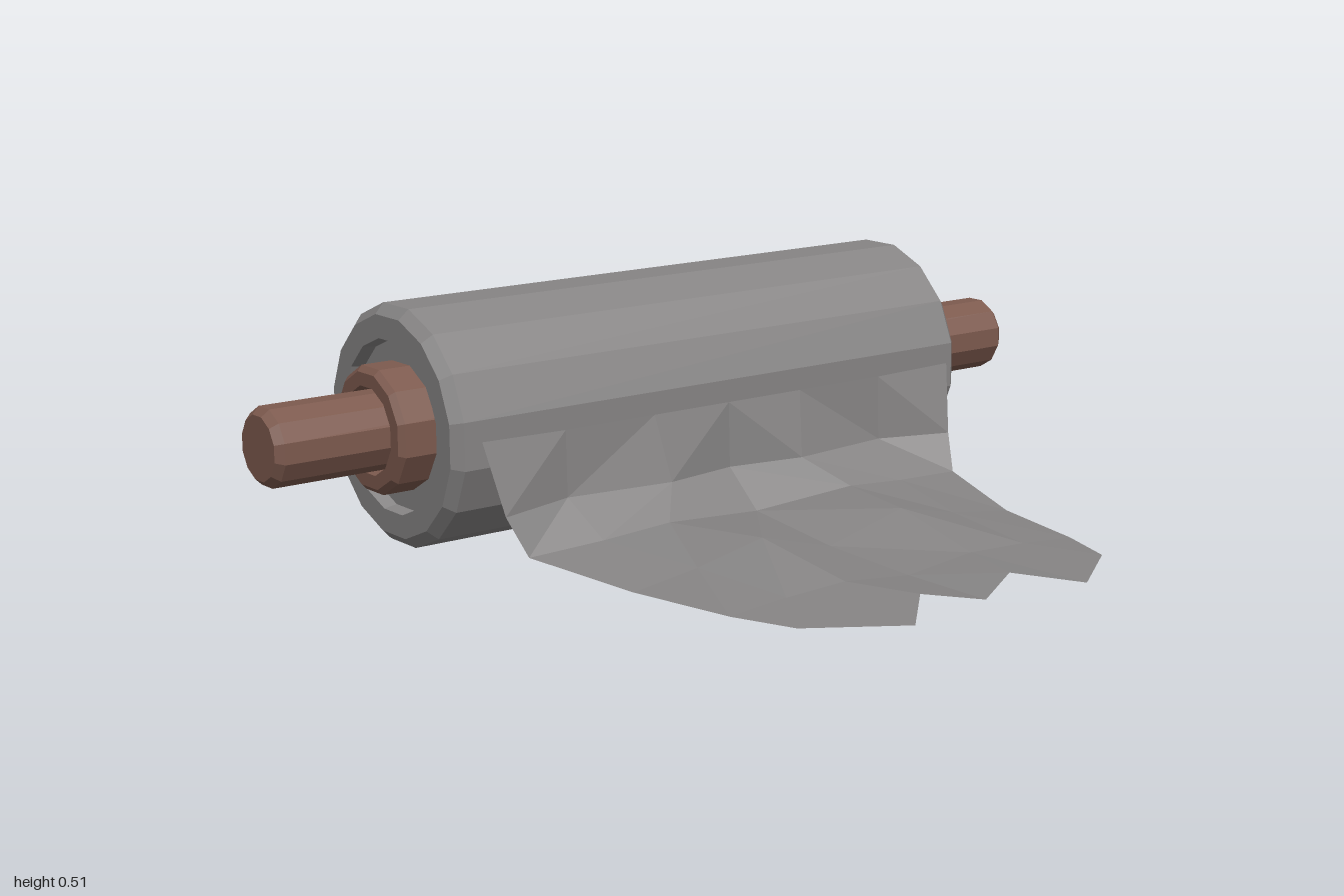
import * as THREE from 'three';

const AXIS_Y = 0.26, AXIS_Z = -0.45;

function material(name, color) {
  const m = new THREE.MeshStandardMaterial({ color, flatShading: true });
  m.name = name;
  return m;
}

// Revolve [radius, x] points around the x axis, with flats facing up and forward
function turned(name, profile, sides, mat) {
  const k = 1 / Math.cos(Math.PI / sides); // radii are given to the flats
  const points = profile.map(([r, x]) => new THREE.Vector2(r * k, x));
  const geo = new THREE.LatheGeometry(points, sides, Math.PI / sides);
  geo.rotateZ(-Math.PI / 2);
  const mesh = new THREE.Mesh(geo, mat);
  mesh.name = name;
  mesh.position.set(0, AXIS_Y, AXIS_Z);
  return mesh;
}

// Complete a right-hand half profile (running inward from the rim) by mirroring it
function mirrored(half) {
  const left = half.map(([r, x]) => [r, -x]).reverse();
  return [...left, ...half];
}

// Each row holds [x, y, z] from the centre line outward; mirrored across x
function clothSheet(rows, mat) {
  const positions = [], index = [];
  const cols = rows[0].length * 2 - 1;
  for (const row of rows) {
    const left = row.slice(1).reverse().map(([x, y, z]) => [-x, y, z]);
    for (const p of [...left, ...row]) positions.push(...p);
  }
  for (let r = 0; r < rows.length - 1; r++) {
    for (let c = 0; c < cols - 1; c++) {
      const a = r * cols + c, b = a + 1, d = a + cols, e = d + 1;
      // Diagonals mirror about the centre line
      if (c < (cols - 1) / 2) index.push(a, d, b, b, d, e);
      else index.push(a, d, e, a, e, b);
    }
  }
  const geo = new THREE.BufferGeometry();
  geo.setAttribute('position', new THREE.Float32BufferAttribute(positions, 3));
  geo.setIndex(index);
  const flat = geo.toNonIndexed();
  flat.computeVertexNormals();
  const mesh = new THREE.Mesh(flat, mat);
  mesh.name = 'looseSheet';
  return mesh;
}

export function createModel() {
  const group = new THREE.Group();
  group.name = 'clothRoll';
  const grey = material('greyCloth', 0x868484);
  const brown = material('brownWood', 0x7d5a4e);
  const greySheet = grey;
  greySheet.side = THREE.DoubleSide;

  // Wound roll with bevelled rims and recessed ends
  group.add(turned('roll', mirrored([
    [0.257, 0.668], [0.235, 0.69], [0.185, 0.69], [0.18, 0.66], [0.125, 0.66],
  ]), 16, grey));

  // Hollow core sleeve projecting from both ends
  const sleeve = mirrored([[0.134, 0.733], [0.122, 0.745], [0.093, 0.745]]);
  sleeve.push(sleeve[0]); // close the bore
  group.add(turned('coreSleeve', [[0.093, -0.745], ...sleeve.slice(1, -1), [0.093, -0.745]], 12, brown));

  // Axle with bevelled tips, running loose inside the sleeve
  group.add(turned('axle', mirrored([[0.083, 0.983], [0.068, 1], [0, 1]]), 12, brown));

  // Loose sheet hanging from the roll and spreading over the ground
  group.add(clothSheet([
    [[0, 0.265, -0.178], [0.2, 0.265, -0.178], [0.43, 0.265, -0.178], [0.637, 0.27, -0.175]],
    [[0, 0.12, -0.175], [0.18, 0.12, -0.145], [0.43, 0.12, -0.175], [0.61, 0.115, -0.135]],
    [[0, 0.04, -0.08], [0.25, 0.06, -0.06], [0.41, 0.045, -0.075], [0.585, 0.035, -0.09]],
    [[0, 0.015, 0.17], [0.19, 0.068, 0.18], [0.35, 0.03, 0.17], [0.51, 0.008, 0.17]],
    [[0, 0.008, 0.42], [0.17, 0.026, 0.42], [0.32, 0.02, 0.42], [0.46, 0.008, 0.42]],
    [[0, 0.01, 0.65], [0.12, 0.03, 0.59], [0.23, 0.014, 0.7], [0.41, 0.01, 0.565]],
  ], greySheet));

  return group;
}
